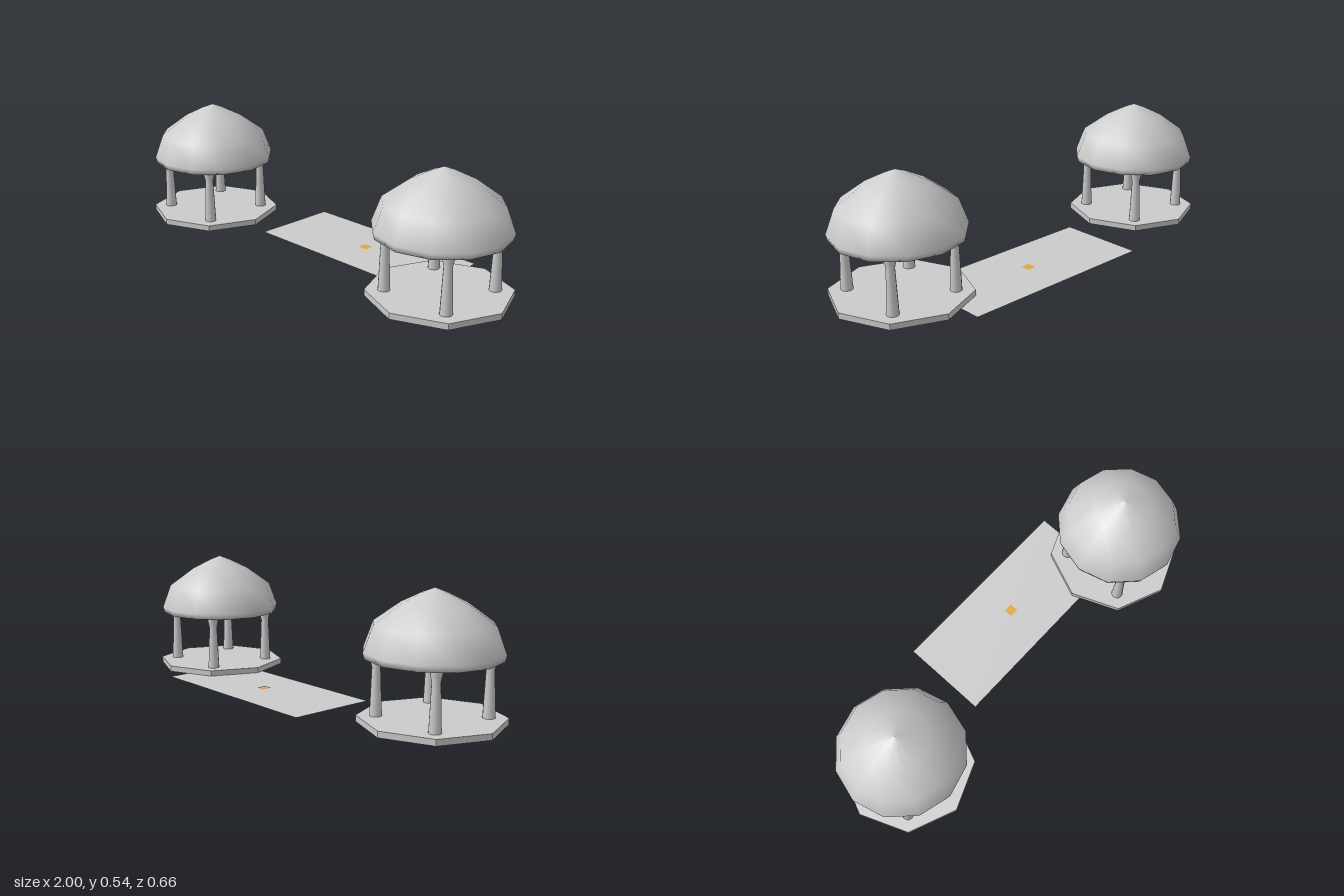
import * as THREE from 'three';

const grey = new THREE.MeshStandardMaterial({ color: 0xcccccc });
const greyFlat = new THREE.MeshStandardMaterial({ color: 0xcccccc, flatShading: true });
const greySheet = new THREE.MeshStandardMaterial({ color: 0xcccccc, side: THREE.DoubleSide });
const amber = new THREE.MeshStandardMaterial({ color: 0xe0a840 });

const profile = (pairs) => pairs.map(([r, y]) => new THREE.Vector2(r, y));

function addMesh(parent, name, geometry, material, x = 0, y = 0, z = 0) {
  const mesh = new THREE.Mesh(geometry, material);
  mesh.name = name;
  mesh.position.set(x, y, z);
  parent.add(mesh);
  return mesh;
}

// Octagonal platform, four flared columns and a closed domed roof
function createPavilion(name) {
  const pavilion = new THREE.Group();
  pavilion.name = name;

  addMesh(pavilion, 'platform', new THREE.CylinderGeometry(0.298, 0.298, 0.026, 8), greyFlat, 0, 0.013, 0);

  const column = new THREE.LatheGeometry(profile([
    [0, 0], [0.026, 0], [0.0255, 0.026], [0.0175, 0.22], [0.0235, 0.246], [0.022, 0.266],
  ]), 12);
  for (const sx of [-1, 1]) {
    for (const sz of [-1, 1]) addMesh(pavilion, 'column', column, grey, sx * 0.155, 0, sz * 0.155);
  }

  // Roof profile runs from the middle of the underside out to the rim and up to the tip
  addMesh(pavilion, 'roof', new THREE.LatheGeometry(profile([
    [0, 0.264], [0.274, 0.264], [0.281, 0.29], [0.242, 0.395], [0.132, 0.475], [0.047, 0.517], [0, 0.535],
  ]), 12), grey);
  return pavilion;
}

export function createModel() {
  const model = new THREE.Group();
  model.name = 'pavilions';

  // Matching pair of pavilions
  for (const [name, x] of [['leftPavilion', 0.702], ['rightPavilion', -0.702]]) {
    const pavilion = createPavilion(name);
    pavilion.position.set(x, 0, 0.028);
    model.add(pavilion);
  }

  // Thin ground sheet with a small coloured marker at its centre
  const sheet = addMesh(model, 'groundSheet', new THREE.PlaneGeometry(0.914, 0.394), greySheet, 0.153, 0.001, -0.133);
  sheet.rotation.x = -Math.PI / 2;
  const marker = addMesh(model, 'marker', new THREE.PlaneGeometry(0.042, 0.042), amber, 0.153, 0.003, -0.133);
  marker.rotation.x = -Math.PI / 2;

  return model;
}
